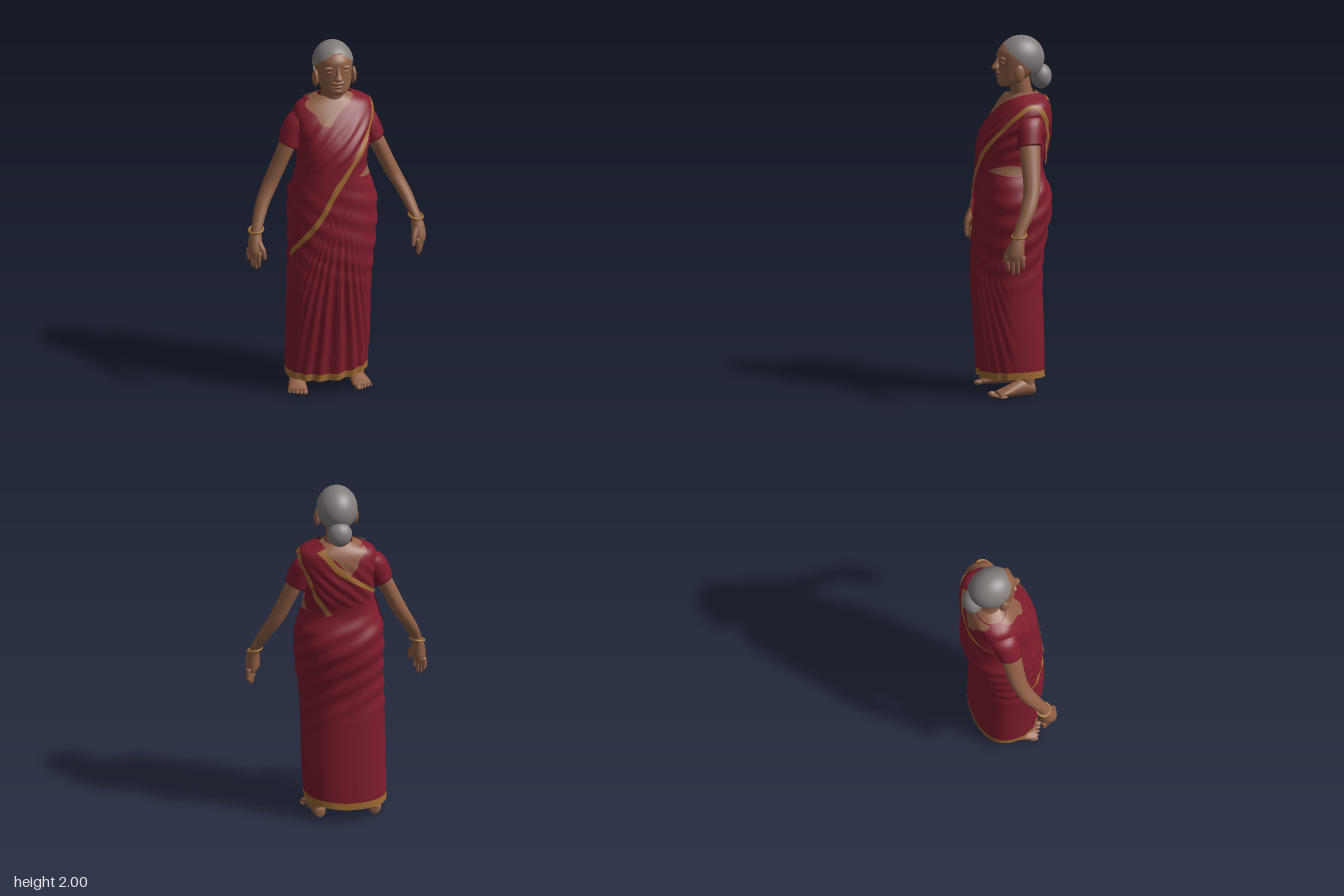
import * as THREE from 'three';

const mat = (name, color) => {
  const m = new THREE.MeshStandardMaterial({ color, side: THREE.DoubleSide });
  m.name = name;
  return m;
};

// Smooth curve through rows of numbers, u from 0 to 1
function spline(rows) {
  const n = rows[0].length;
  const it = new THREE.CubicInterpolant(rows.map((_, i) => i), rows.flat(), n, new Float32Array(n));
  return u => Array.from(it.evaluate(u * (rows.length - 1)));
}

// Surface from fn(u, v) -> [x, y, z]; closed joins u = 1 to u = 0
function grid(fn, nu, nv, closed = false) {
  const pos = [], idx = [], cols = closed ? nu : nu + 1;
  for (let j = 0; j <= nv; j++)
    for (let i = 0; i < cols; i++) pos.push(...fn(i / nu, j / nv));
  for (let j = 0; j < nv; j++)
    for (let i = 0; i < nu; i++) {
      const a = j * cols + i, b = j * cols + (i + 1) % cols;
      idx.push(a, b, b + cols, a, b + cols, a + cols);
    }
  const g = new THREE.BufferGeometry();
  g.setAttribute('position', new THREE.Float32BufferAttribute(pos, 3));
  g.setIndex(idx);
  g.computeVertexNormals();
  return g;
}

// Closed limb through rings [x, y, z, rx, rz, tilt]
function limb(rings, nv = 24, nu = 20) {
  const full = rings.map(r => [...r, 0].slice(0, 6)), f = spline(full);
  return grid((u, v) => {
    const k = v === 0 || v === 1 ? 0 : 1;
    const [x, y, z, rx, rz, tilt] = f(Math.min(1, Math.max(0, (v * nv - 1) / (nv - 2))));
    const a = -u * Math.PI * 2, dx = k * rx * Math.sin(a);
    return [x + dx, y + tilt * dx, z + k * rz * Math.cos(a)];
  }, nu, nv, true);
}

// Draped body: y, xMin, xMax, zBack, zFront
const SECTIONS = [
  [0.08, -0.265, 0.19, -0.18, 0.172], [0.3, -0.262, 0.2, -0.175, 0.187],
  [0.6, -0.26, 0.205, -0.165, 0.21], [0.75, -0.255, 0.215, -0.165, 0.212],
  [0.9, -0.25, 0.235, -0.185, 0.207], [1.05, -0.25, 0.243, -0.21, 0.2],
  [1.15, -0.243, 0.233, -0.2, 0.195], [1.25, -0.213, 0.192, -0.168, 0.188],
  [1.3, -0.2, 0.18, -0.168, 0.185], [1.4, -0.195, 0.195, -0.187, 0.178],
  [1.48, -0.2, 0.21, -0.195, 0.15], [1.55, -0.208, 0.225, -0.193, 0.107],
  [1.6, -0.203, 0.222, -0.185, 0.068], [1.64, -0.177, 0.195, -0.17, 0.035],
  [1.67, -0.11, 0.125, -0.148, 0.01], [1.69, -0.07, 0.085, -0.125, -0.005],
];
const sections = new THREE.CubicInterpolant(SECTIONS.map(s => s[0]),
  SECTIONS.flatMap(s => s.slice(1)), 4, new Float32Array(4));
const POW = 0.86;
const spow = (v, p) => Math.sign(v) * Math.abs(v) ** p;
const step = THREE.MathUtils.smoothstep;

// Depth of the cloth folds; the front pleats fan out from the waist
function folds(t, y) {
  const front = Math.max(0, Math.cos(t)), tt = Math.atan2(Math.sin(t), Math.cos(t));
  const drop = Math.max(0, 1.12 - y), fan = 0.1 + 0.9 * Math.min(1, drop);
  const pleats = 0.011 * front * step(drop, 0, 0.2) * Math.exp(-((tt / (2.2 * fan)) ** 2)) *
    Math.sin(17 * tt / fan);
  const hip = 0.0045 * step(y, 0.5, 0.8) * (1 - step(y, 1.15, 1.27)) *
    Math.sin(52 * y + 7 * Math.sin(t) + 3 * Math.cos(t)) * (1 - 0.4 * front);
  const chest = 0.004 * step(y, 1.3, 1.38) * (1 - step(y, 1.5, 1.62)) * Math.sin(70 * (y - 0.25 * Math.sin(t)));
  return pleats + hip + chest;
}

// Point on the body, t = 0 at the front and rising towards +x
function body(t, y, off = 0) {
  const [x0, x1, z0, z1] = sections.evaluate(y);
  const d = folds(t, y) + off;
  const lift = 0.025 * Math.max(0, Math.sin(t)) * (1 - step(y, 0.08, 0.35));
  return [(x0 + x1) / 2 + ((x1 - x0) / 2 + d) * spow(Math.sin(t), POW),
    y + lift + off * step(y, 1.5, 1.66),
    (z0 + z1) / 2 + ((z1 - z0) / 2 + d) * spow(Math.cos(t), POW)];
}
// [t, y] of a place seen from the front or the back
function onFront(x, y) {
  const [x0, x1] = sections.evaluate(y);
  const s = THREE.MathUtils.clamp((x - (x0 + x1) / 2) / ((x1 - x0) / 2), -1, 1);
  return [Math.asin(spow(s, 1 / POW)), y];
}
const onBack = (x, y) => [Math.PI - onFront(x, y)[0], y];

const tube = (y0, y1, rows) =>
  grid((u, v) => body(u * Math.PI * 2, y0 + (y1 - y0) * v), 144, rows, true);

// Cloth or skin laid on the body between two curves
const patch = (a, b, off, nu = 50, nv = 16) => grid((u, v) => {
  const p = a(u), q = b(u);
  return body(p[0] + (q[0] - p[0]) * v, p[1] + (q[1] - p[1]) * v, off);
}, nu, nv);

// Ribbon of even width along curve a, on the side of curve b
const ribbon = (a, b, width, off, u0 = 0, u1 = 1) => grid((u, v) => {
  const w = u0 + (u1 - u0) * u, p = a(w), q = b(w);
  const k = v * Math.min(0.3, width / Math.hypot((q[0] - p[0]) * 0.21, q[1] - p[1]));
  return body(p[0] + (q[0] - p[0]) * k, p[1] + (q[1] - p[1]) * k, off);
}, 90, 3);

export function createModel() {
  const root = new THREE.Group();
  root.name = 'womanInSari';
  const red = mat('crimson cloth', 0x7f1c2d), gold = mat('gold border', 0x9f6c32);
  const skin = mat('brown skin', 0x8f5f46), hair = mat('grey hair', 0x827d7b);
  const add = (name, geo, m) => {
    const mesh = new THREE.Mesh(geo, m);
    mesh.name = name;
    root.add(mesh);
  };
  const ball = (name, m, x, y, z, rx, ry, rz) =>
    add(name, new THREE.SphereGeometry(1, 24, 16).scale(rx, ry, rz).translate(x, y, z), m);

  // Skirt and blouse
  add('hemBorder', tube(0.08, 0.12, 3), gold);
  add('skirt', tube(0.12, 1.28, 100), red);
  add('blouse', tube(1.28, 1.665, 50), red);
  add('neckBase', tube(1.665, 1.69, 5), skin);

  // Bare midriff on the left, and the open neckline
  add('midriff', patch(spline([[0.6, 1.268], [1, 1.258], [1.5, 1.248], [1.9, 1.268]]),
    spline([[0.6, 1.275], [1, 1.298], [1.5, 1.305], [1.9, 1.275]]), 0.006), skin);
  add('chestSkin', patch(
    spline([onFront(-0.125, 1.662), onFront(-0.11, 1.61), onFront(-0.085, 1.565), onFront(-0.03, 1.548)]),
    spline([onFront(0.1, 1.672), onFront(0.07, 1.64), onFront(0.02, 1.6), onFront(-0.02, 1.55)]), 0.006), skin);
  add('backSkin', patch(
    spline([onBack(0.1, 1.67), onBack(0.05, 1.62), onBack(0, 1.57), onBack(-0.03, 1.52)]),
    spline([onBack(-0.12, 1.662), onBack(-0.105, 1.62), onBack(-0.08, 1.57), onBack(-0.04, 1.52)]), 0.006), skin);

  // Sash from the right hip over the left shoulder and down the back
  const lower = spline([onFront(-0.245, 0.8), onFront(-0.12, 1.0), onFront(0.01, 1.235),
    onFront(0.13, 1.42), onFront(0.2, 1.55), [Math.PI / 2, 1.615],
    onBack(0.19, 1.52), onBack(0.14, 1.38), onBack(0.08, 1.27)]);
  const upper = spline([onFront(-0.2, 1.28), onFront(-0.185, 1.4), onFront(-0.09, 1.5),
    onFront(-0.03, 1.555), onFront(0.07, 1.64), [Math.PI / 2, 1.68],
    onBack(0.08, 1.655), onBack(-0.05, 1.52), onBack(-0.18, 1.38)]);
  add('sash', patch(lower, upper, 0.012, 110, 30), red);
  add('sashLowerBorder', ribbon(lower, upper, 0.033, 0.017), gold);
  add('sashUpperBorder', ribbon(upper, lower, 0.028, 0.017, 0.73, 1), gold);

  // Head and neck
  const cx = 0.012;
  add('neck', limb([[cx, 1.64, -0.065, 0.08, 0.075], [cx, 1.69, -0.05, 0.066, 0.06],
    [cx, 1.78, -0.03, 0.062, 0.06]]), skin);
  add('face', limb([[cx, 1.722, 0.045, 0.03, 0.028], [cx, 1.735, 0.033, 0.062, 0.05],
    [cx, 1.76, 0.012, 0.083, 0.073], [cx, 1.8, -0.015, 0.095, 0.1], [cx, 1.84, -0.03, 0.1, 0.115],
    [cx, 1.88, -0.033, 0.102, 0.118], [cx, 1.92, -0.036, 0.096, 0.118],
    [cx, 1.96, -0.038, 0.074, 0.088]], 32, 32), skin);
  add('nose', limb([[cx, 1.892, 0.072, 0.01, 0.014], [cx, 1.855, 0.085, 0.014, 0.02],
    [cx, 1.828, 0.093, 0.023, 0.028], [cx, 1.812, 0.085, 0.019, 0.02]]), skin);
  ball('upperLip', skin, cx, 1.797, 0.066, 0.042, 0.02, 0.031);
  ball('lowerLip', skin, cx, 1.775, 0.064, 0.036, 0.014, 0.028);
  ball('chin', skin, cx, 1.75, 0.063, 0.034, 0.02, 0.026);
  for (const s of [-1, 1]) {
    ball('brow', skin, cx + s * 0.042, 1.886, 0.068, 0.032, 0.01, 0.014);
    ball('eyelid', skin, cx + s * 0.042, 1.86, 0.068, 0.018, 0.008, 0.009);
    ball('ear', skin, cx + s * 0.107, 1.806, -0.01, 0.017, 0.05, 0.03);
  }

  // Hair combed back into a bun
  add('hairCap', new THREE.SphereGeometry(1, 40, 24, 0, Math.PI * 2, 0, Math.PI * 0.55)
    .rotateX(-0.74).scale(0.113, 0.126, 0.13).translate(cx, 1.874, -0.046), hair);
  ball('hairBun', hair, cx, 1.766, -0.16, 0.068, 0.07, 0.058);

  for (const s of [-1, 1]) {
    const side = rings => rings.map(([x, y, z, rx, rz, tilt = 0]) => [x * s, y, z, rx, rz, tilt * s]);

    // Sleeve, arm and bangle
    add('sleeve', limb(side([[0.15, 1.59, -0.06, 0.055, 0.07, 0.1],
      [0.192, 1.53, -0.05, 0.063, 0.075, 0.35], [0.24, 1.418, -0.037, 0.056, 0.068, 0.5]])), red);
    add('arm', limb(side([[0.235, 1.46, -0.04, 0.042, 0.055], [0.255, 1.4, -0.035, 0.048, 0.058],
      [0.3, 1.3, -0.03, 0.046, 0.052], [0.347, 1.2, -0.02, 0.045, 0.046], [0.4, 1.1, 0.015, 0.039, 0.043],
      [0.44, 1.0, 0.068, 0.031, 0.035], [0.453, 0.96, 0.083, 0.03, 0.036]]), 36), skin);
    add('bangle', new THREE.TorusGeometry(0.039, 0.007, 10, 32).rotateX(Math.PI / 2 + 0.2)
      .rotateZ(-s * 0.2).translate(s * 0.45, 0.975, 0.077), gold);

    // Hand, turned with the thumb forward and inward
    add('palm', limb(side([[0.453, 0.97, 0.08, 0.029, 0.034], [0.458, 0.92, 0.092, 0.037, 0.042],
      [0.462, 0.875, 0.1, 0.038, 0.048], [0.464, 0.84, 0.103, 0.03, 0.045]])), skin);
    for (let i = 0; i < 4; i++) {
      const x = 0.484 - i * 0.013, z = 0.066 + i * 0.025, tip = [0.795, 0.765, 0.76, 0.78][i];
      add('finger', limb(side([[x, 0.865, z, 0.015, 0.015], [x + 0.005, 0.82, z + 0.002, 0.014, 0.013],
        [x, tip, z - 0.002, 0.009, 0.009]]), 10, 10), skin);
    }
    add('thumb', limb(side([[0.446, 0.925, 0.115, 0.017, 0.017], [0.426, 0.875, 0.142, 0.015, 0.015],
      [0.418, 0.826, 0.155, 0.009, 0.009]]), 12, 10), skin);

    // Ankle, foot and toes
    const foot = new THREE.Group();
    foot.name = s > 0 ? 'leftFoot' : 'rightFoot';
    const part = (name, geo) => {
      const mesh = new THREE.Mesh(geo, skin);
      mesh.name = name;
      foot.add(mesh);
    };
    part('ankle', limb([[0, 0.04, -0.055, 0.034, 0.042], [0, 0.1, -0.055, 0.034, 0.04],
      [0, 0.3, -0.05, 0.045, 0.05]]));
    part('sole', limb([[0, -0.1, -0.032, 0.018, 0.022], [0, -0.085, -0.038, 0.033, 0.036],
      [0, -0.03, -0.048, 0.037, 0.047], [0, 0.04, -0.036, 0.045, 0.035],
      [0, 0.1, -0.022, 0.053, 0.021], [0, 0.125, -0.018, 0.046, 0.015]]).rotateX(Math.PI / 2));
    for (let i = 0; i < 5; i++) {
      const r = i === 0 ? 0.016 : 0.0115 - i * 0.0006;
      part('toe', new THREE.SphereGeometry(1, 12, 8).scale(r, r, 0.024)
        .translate(s * (-0.037 + i * 0.021), r, 0.14 - i * 0.009));
    }
    foot.position.x = s > 0 ? 0.125 : -0.205;
    foot.rotation.y = s * 0.15;
    root.add(foot);
  }
  return root;
}
